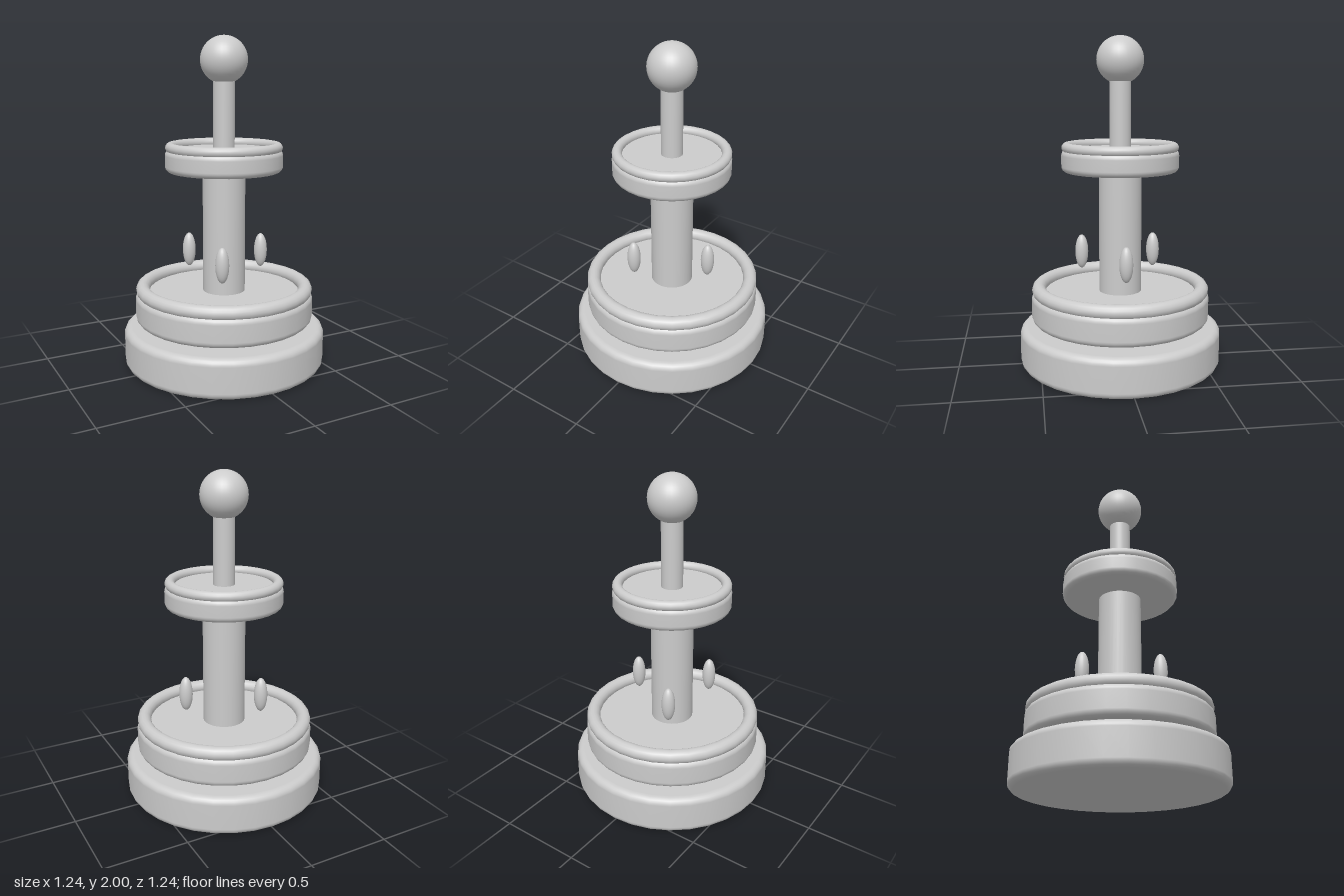
import * as THREE from 'three';

const material = new THREE.MeshStandardMaterial({ color: 0xcccccc });
const SEGMENTS = 32;

function add(parent, name, geometry, x = 0, y = 0, z = 0) {
  const mesh = new THREE.Mesh(geometry, material);
  mesh.name = name;
  mesh.position.set(x, y, z);
  parent.add(mesh);
  return mesh;
}

// Solid disc with rounded rims, from y0 to y1
function roundedDisc(radius, y0, y1, bevel) {
  const inner = radius - bevel;
  const points = [new THREE.Vector2(0, y0), new THREE.Vector2(inner - 0.004, y0)];
  const steps = 6;
  for (const [cy, start] of [[y0 + bevel, -Math.PI / 2], [y1 - bevel, 0]]) {
    for (let i = 0; i <= steps; i++) {
      const a = start + (i / steps) * Math.PI / 2;
      points.push(new THREE.Vector2(inner + bevel * Math.cos(a), cy + bevel * Math.sin(a)));
    }
  }
  points.push(new THREE.Vector2(inner - 0.004, y1), new THREE.Vector2(0, y1));
  return new THREE.LatheGeometry(points, SEGMENTS);
}

function rod(radius, y0, y1) {
  return new THREE.CylinderGeometry(radius, radius, y1 - y0, SEGMENTS).translate(0, (y0 + y1) / 2, 0);
}

function rim(radius, tube) {
  return new THREE.TorusGeometry(radius, tube, 16, SEGMENTS).rotateX(Math.PI / 2);
}

export function createModel() {
  const model = new THREE.Group();
  model.name = 'tieredStand';

  // Base and the tray floating just above it
  add(model, 'base', roundedDisc(0.62, 0, 0.24, 0.042));
  add(model, 'lowerTray', roundedDisc(0.548, 0.27, 0.452, 0.04));
  add(model, 'lowerRim', rim(0.503, 0.042), 0, 0.47, 0);

  // Main column and upper tray
  add(model, 'column', rod(0.13, 0.43, 1.22));
  add(model, 'upperTray', roundedDisc(0.356, 1.193, 1.33, 0.035));
  add(model, 'upperRim', rim(0.324, 0.03), 0, 1.341, 0);

  // Handle rod and ball knob
  add(model, 'handleRod', rod(0.065, 1.31, 1.78));
  add(model, 'knob', new THREE.SphereGeometry(0.142, 32, 24), 0, 1.858, 0);

  // Three hanging drops around the column
  const drops = new THREE.Group();
  drops.name = 'drops';
  const dropGeometry = new THREE.SphereGeometry(1, 24, 16).scale(0.041, 0.107, 0.041);
  for (let i = 0; i < 3; i++) {
    const a = (i / 3) * Math.PI * 2;
    add(drops, `drop${i + 1}`, dropGeometry, 0.262 * Math.cos(a), 0.675, 0.262 * Math.sin(a));
  }
  model.add(drops);
  return model;
}
